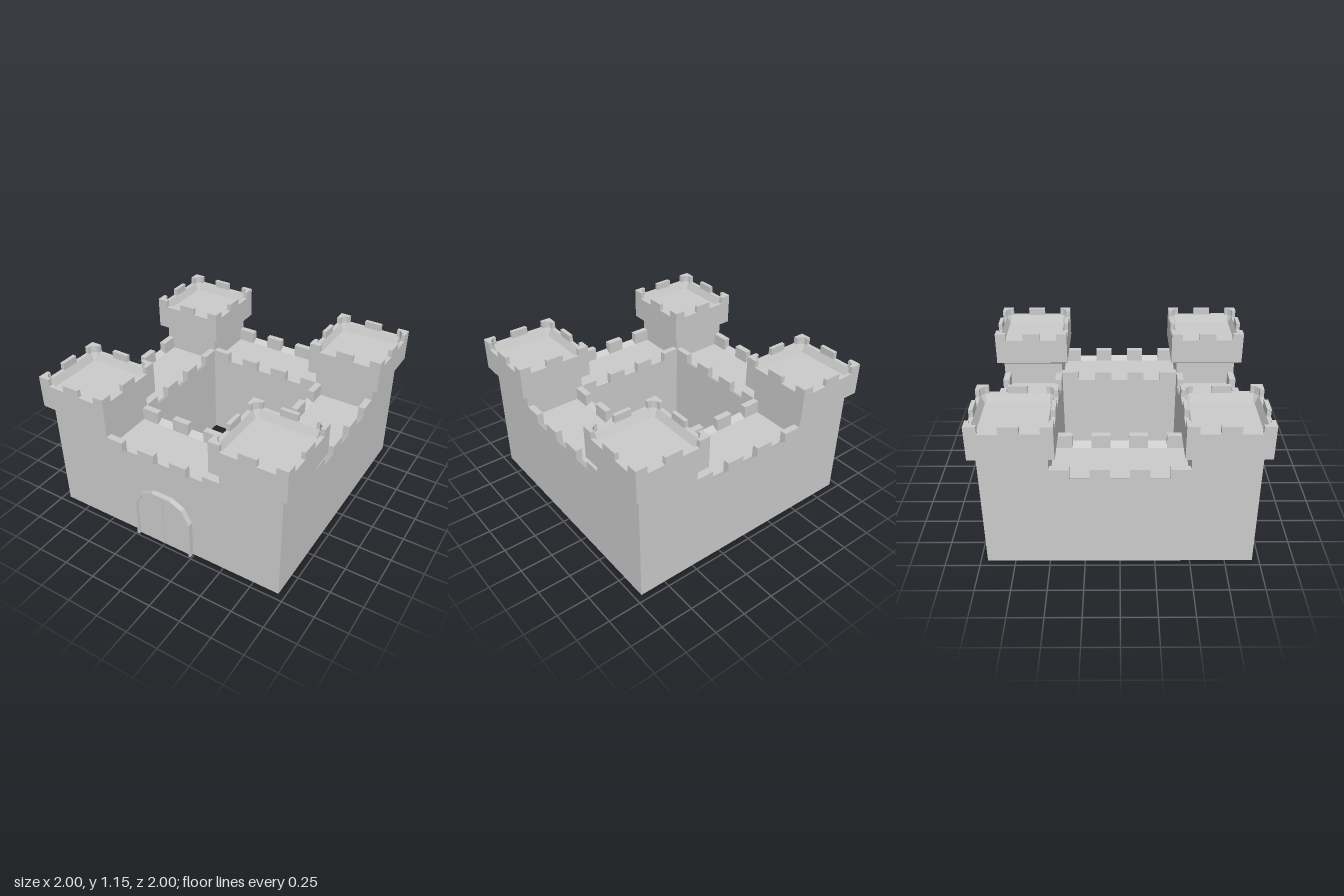
import * as THREE from 'three';

const stone = new THREE.MeshStandardMaterial({ color: 0xcccccc, flatShading: true });

function add(parent, name, geometry, x = 0, y = 0, z = 0) {
  const mesh = new THREE.Mesh(geometry, stone);
  mesh.name = name;
  mesh.position.set(x, y, z);
  parent.add(mesh);
  return mesh;
}

const shapeOf = (points) => new THREE.Shape(points.map(([x, y]) => new THREE.Vector2(x, y)));
const extrude = (shape, depth) => new THREE.ExtrudeGeometry(shape, { depth, bevelEnabled: false });

// Square rings [half size, height, corner cut] joined into a closed skin
function loft(rings) {
  const positions = [];
  const index = [];
  for (const [h, y, c] of rings) {
    const k = h - c;
    for (const [x, z] of [[h, k], [h, -k], [k, -h], [-k, -h], [-h, -k], [-h, k], [-k, h], [k, h]])
      positions.push(x, y, z);
  }
  const last = (rings.length - 1) * 8;
  for (let r = 0; r < last; r += 8) {
    for (let j = 0; j < 8; j++) {
      const n = (j + 1) % 8;
      index.push(r + j, r + n, r + 8 + n, r + j, r + 8 + n, r + 8 + j);
    }
  }
  for (let j = 1; j < 7; j++) {
    index.push(0, j + 1, j);
    index.push(last, last + j, last + j + 1);
  }
  const geometry = new THREE.BufferGeometry();
  geometry.setAttribute('position', new THREE.Float32BufferAttribute(positions, 3));
  geometry.setIndex(index);
  const flat = geometry.toNonIndexed();
  flat.computeVertexNormals();
  return flat;
}

// Corner tower: shaft, flared head, sunken roof and battlements
function createTower() {
  const tower = new THREE.Group();
  tower.name = 'tower';
  const h = 0.2875, t = 0.03, w = 0.085;
  add(tower, 'towerBody', loft([
    [0.2375, 0, 0], [0.2375, 0.875, 0], [h, 0.905, 0], [h, 1.1, 0],
    [h - t, 1.1, 0.03], [0.2325, 1.04, 0.01],
  ]));
  const corner = extrude(shapeOf([
    [h, h], [h - w, h], [h - w, h - t], [h - 2 * t, h - t],
    [h - t, h - 2 * t], [h - t, h - w], [h, h - w],
  ]), 0.055).rotateX(-Math.PI / 2);
  const middle = new THREE.BoxGeometry(t, 0.055, 0.135).translate(h - t / 2, 1.1275, 0);
  for (let i = 0; i < 4; i++) {
    add(tower, 'towerCornerMerlon', corner, 0, 1.1, 0).rotation.y = i * Math.PI / 2;
    add(tower, 'towerMerlon', middle).rotation.y = i * Math.PI / 2;
  }
  return tower;
}

// Wall running along z with its outside facing +x
function createWall() {
  const wall = new THREE.Group();
  wall.name = 'wall';
  const inner = 0.475, outer = 0.95, t = 0.05;
  const profile = shapeOf([
    [inner, 0], [outer, 0], [outer, 0.72], [outer - t, 0.69], [inner + t, 0.69], [inner, 0.72],
  ]);
  add(wall, 'wallBody', extrude(profile, 0.95), 0, 0, -0.475);
  const merlon = new THREE.BoxGeometry(t, 0.11, 0.135);
  for (const x of [inner + t / 2, outer - t / 2])
    for (const z of [-0.4075, -0.135, 0.135, 0.4075]) add(wall, 'wallMerlon', merlon, x, 0.735, z);
  return wall;
}

// Faceted arch outline, narrowed by an inset
function archPoints(inset) {
  const right = [[0.24, 0], [0.24, 0.315], [0.18, 0.425], [0.08, 0.475]]
    .map(([x, y]) => [x - inset * (y > 0.45 ? 0.4 : 1), y > 0.4 ? y - inset : y]);
  return right.concat(right.slice().reverse().map(([x, y]) => [-x, y]));
}

function createGate() {
  const gate = new THREE.Group();
  gate.name = 'gate';
  // Frame as one open-bottomed arch band
  const band = archPoints(0).concat(archPoints(0.016).reverse());
  add(gate, 'gateFrame', extrude(shapeOf(band), 0.04), 0, 0, 0.95);
  // Two leaves with a narrow gap between them
  const half = archPoints(0.016).slice(0, 4);
  for (const side of [1, -1]) {
    const points = [[0.003, 0], ...half, [0.003, half[3][1]]].map(([x, y]) => [x * side, y]);
    add(gate, side > 0 ? 'leftDoor' : 'rightDoor', extrude(shapeOf(points), 0.025), 0, 0, 0.945);
  }
  return gate;
}

export function createModel() {
  const castle = new THREE.Group();
  castle.name = 'castle';
  for (const x of [-0.7125, 0.7125]) {
    for (const z of [-0.7125, 0.7125]) {
      const tower = createTower();
      tower.position.set(x, 0, z);
      castle.add(tower);
    }
  }
  for (let i = 0; i < 4; i++) {
    const wall = createWall();
    wall.rotation.y = i * Math.PI / 2;
    castle.add(wall);
  }
  castle.add(createGate());
  return castle;
}
